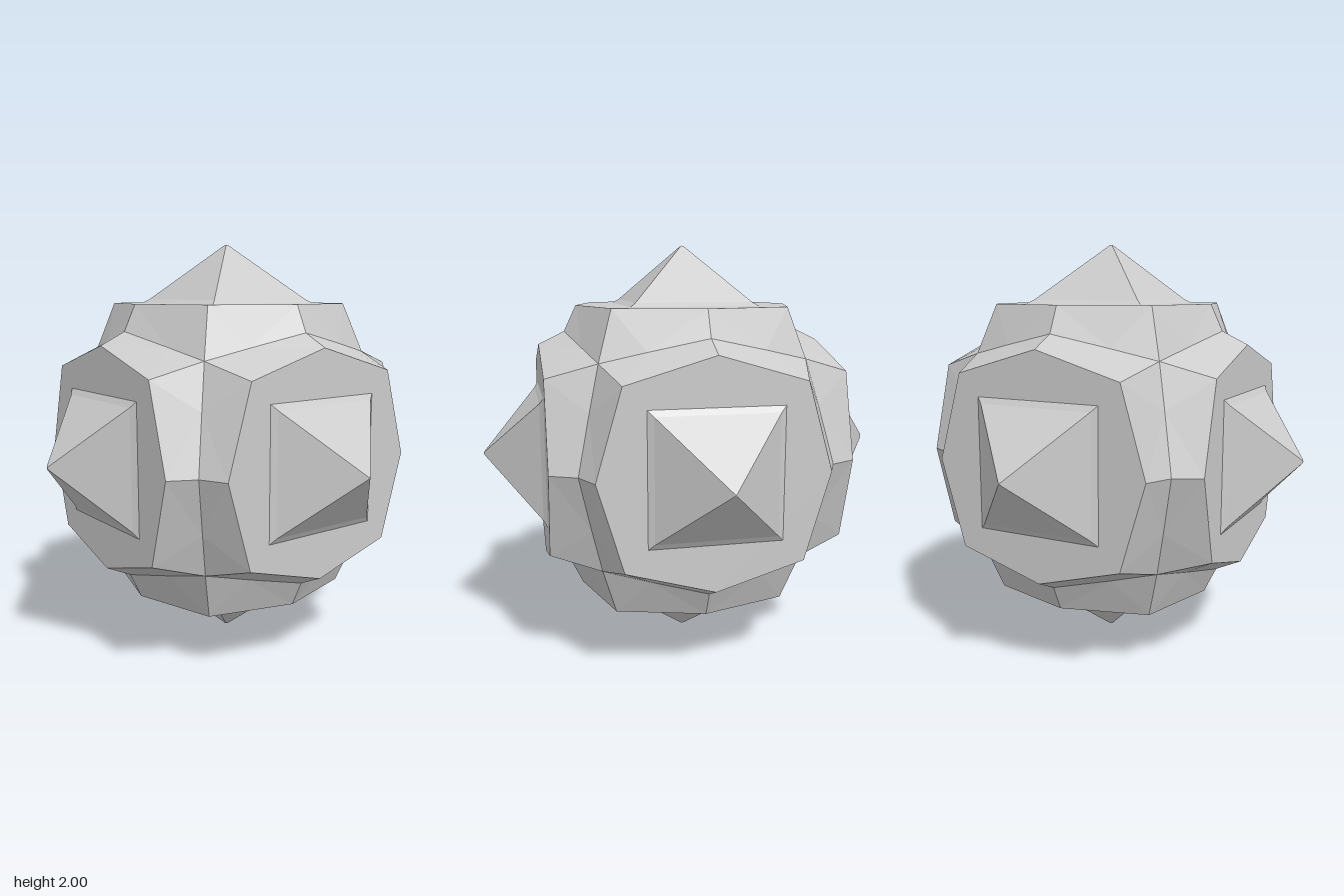
import * as THREE from 'three';

const H = 0.715; // distance of each plate from the centre

// Eight-pointed plate lying flat, facing +y
function plateGeometry() {
  const shape = new THREE.Shape();
  for (let i = 0; i < 8; i++) {
    const a = i * Math.PI / 4;
    const r = i % 2 ? 0.41 * Math.SQRT2 : 0.53;
    shape[i ? 'lineTo' : 'moveTo'](r * Math.cos(a), r * Math.sin(a));
  }
  return new THREE.ShapeGeometry(shape).rotateX(-Math.PI / 2).translate(0, H, 0);
}

// Square spike with a small flared foot
function spikeGeometry() {
  const profile = [[0.312, H - 0.003], [0.28, 0.733], [0.008, 0.996], [0, 1]]
    .map(([half, y]) => new THREE.Vector2(half * Math.SQRT2, y));
  return new THREE.LatheGeometry(profile, 4, Math.PI / 4);
}

// Faceted slope from one plate edge down to the valley shared with its neighbour
function slopeGeometry() {
  const P = [0, H, 0.53];        // middle of plate edge
  const C = [0.41, H, 0.41];     // plate corner
  const E = [0, 0.59, 0.59];     // middle of valley
  const V = [0.27, 0.53, 0.53];  // quarter of valley
  const D = [0.48, 0.48, 0.48];  // corner dent
  const pos = [];
  for (const [a, b, c] of [[P, E, V], [P, V, C], [C, V, D]]) {
    pos.push(...a, ...b, ...c);
    for (const p of [a, c, b]) pos.push(-p[0], p[1], p[2]); // mirrored half
  }
  const g = new THREE.BufferGeometry();
  g.setAttribute('position', new THREE.Float32BufferAttribute(pos, 3));
  g.computeVertexNormals();
  return g;
}

export function createModel() {
  const model = new THREE.Group();
  model.name = 'spikedBall';
  const material = new THREE.MeshStandardMaterial({ color: 0xcccccc, flatShading: true });
  const plate = plateGeometry(), spike = spikeGeometry(), slope = slopeGeometry();
  const q = Math.PI / 2;

  const sides = {
    top: [0, 0], bottom: [2 * q, 0], front: [q, 0],
    back: [-q, 0], left: [0, -q], right: [0, q],
  };
  for (const [name, [rx, rz]] of Object.entries(sides)) {
    const side = new THREE.Group();
    side.name = name + 'Side';
    side.position.y = 1;
    side.rotation.set(rx, 0, rz);
    const add = (geometry, part) => {
      const mesh = new THREE.Mesh(geometry, material);
      mesh.name = part;
      side.add(mesh);
      return mesh;
    };
    add(plate, 'plate');
    add(spike, 'spike');
    for (let i = 0; i < 4; i++) add(slope, 'valleySlope').rotation.y = i * q;
    model.add(side);
  }
  return model;
}
